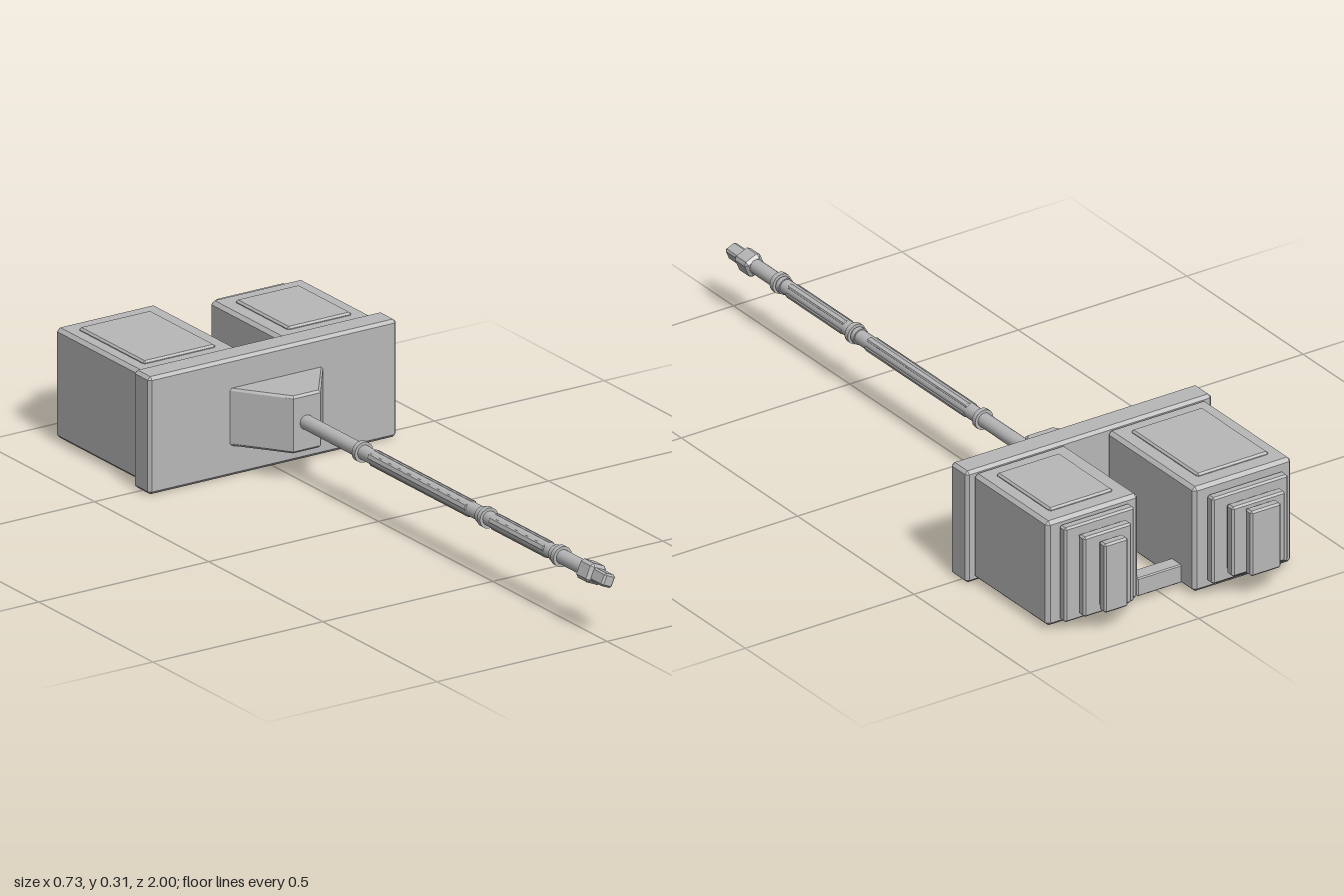
import * as THREE from 'three';
import { ConvexGeometry } from 'three/addons/geometries/ConvexGeometry.js';

const steel = new THREE.MeshStandardMaterial({ color: 0xb8b8b8 });
steel.name = 'steel grey';

// box with chamfered edges, given as [min, max] along each axis
function chamferBox(name, xs, ys, zs, c) {
  const lo = [xs[0], ys[0], zs[0]], hi = [xs[1], ys[1], zs[1]];
  const mid = lo.map((v, i) => (v + hi[i]) / 2);
  const half = lo.map((v, i) => Math.abs(hi[i] - v) / 2);
  const points = [];
  for (const sx of [-1, 1]) for (const sy of [-1, 1]) for (const sz of [-1, 1])
    for (let axis = 0; axis < 3; axis++) {
      const p = half.map((h, i) => h - (i === axis ? 0 : c));
      points.push(new THREE.Vector3(sx * p[0], sy * p[1], sz * p[2]));
    }
  const mesh = new THREE.Mesh(new ConvexGeometry(points), steel);
  mesh.position.set(...mid);
  mesh.name = name;
  return mesh;
}

// one hammer block: body, panels above and below, three stepped slabs behind
function block(name, x, back, panelX, steps) {
  const g = new THREE.Group();
  g.name = name;
  g.add(chamferBox('blockBody', x, [0.01, 0.298], [back, -0.525], 0.009));
  g.add(chamferBox('blockPanels', panelX, [0.003, 0.305], [back + 0.047, -0.566], 0.005));
  steps.forEach(([x0, x1, y0, y1], i) => {
    const z = back - 0.035 * i;
    g.add(chamferBox('stepSlab', [x0, x1], [y0, y1], [z - 0.03, z - 0.003], 0.005));
    // recessed core joining the slabs
    g.add(chamferBox('stepCore', [x0 + 0.008, x1 - 0.008], [y0 + 0.008, y1 - 0.008], [z - 0.02, z + 0.01], 0.002));
  });
  return g;
}

export function createModel() {
  const model = new THREE.Group();
  model.name = 'twinBlockHammer';

  // head
  const head = new THREE.Group();
  head.name = 'head';
  model.add(head);
  head.add(chamferBox('headPlate', [-0.366, 0.364], [0, 0.307], [-0.53, -0.459], 0.008));
  head.add(block('rightBlock', [-0.347, -0.055], -0.9, [-0.31, -0.098], [
    [-0.315, -0.09, 0.035, 0.273], [-0.283, -0.125, 0.06, 0.252], [-0.246, -0.156, 0.067, 0.246]]));
  head.add(block('leftBlock', [0.07, 0.342], -0.845, [0.114, 0.302], [
    [0.103, 0.31, 0.025, 0.285], [0.135, 0.277, 0.045, 0.265], [0.17, 0.24, 0.06, 0.25]]));
  head.add(chamferBox('bridgeBar', [-0.06, 0.075], [0.015, 0.065], [-0.845, -0.802], 0.003));

  // wedge between the plate and the shaft
  const outline = new THREE.Shape([[-0.128, 0.465], [0.144, 0.465], [0.045, 0.331], [-0.029, 0.331]]
    .map(([x, y]) => new THREE.Vector2(x, y)).reverse());
  const wedgeGeometry = new THREE.ExtrudeGeometry(outline,
    { depth: 0.138, bevelThickness: 0.006, bevelSize: 0.006, bevelSegments: 1 });
  wedgeGeometry.rotateX(-Math.PI / 2);
  const wedge = new THREE.Mesh(wedgeGeometry, steel);
  wedge.name = 'neckWedge';
  wedge.position.y = 0.086;
  head.add(wedge);

  // shaft, rolled about its own axis
  const shaft = new THREE.Group();
  shaft.name = 'shaft';
  shaft.position.set(0.006, 0.156, 0);
  shaft.rotation.z = -0.41;
  model.add(shaft);

  const rod = (name, r, z0, z1) => {
    const geometry = new THREE.CylinderGeometry(r, r, z1 - z0, 16);
    geometry.rotateX(Math.PI / 2);
    const mesh = new THREE.Mesh(geometry, steel);
    mesh.name = name;
    mesh.position.z = (z0 + z1) / 2;
    shaft.add(mesh);
  };
  rod('rod', 0.019, -0.335, 0.91);
  for (const z of [-0.08, 0.45, 0.468, 0.772, 0.79])
    rod('ring', [0.45, 0.772].includes(z) ? 0.022 : 0.027, z - 0.007, z + 0.007);

  // raised ribs on the grips
  for (const [z0, z1] of [[-0.03, 0.4], [0.5, 0.74]]) {
    shaft.add(chamferBox('gripRibs', [-0.021, 0.021], [-0.008, 0.008], [z0, z1], 0.003));
    shaft.add(chamferBox('gripRibs', [-0.008, 0.008], [-0.021, 0.021], [z0, z1], 0.003));
  }

  // square pommel and its end
  shaft.add(chamferBox('pommel', [-0.025, 0.025], [-0.025, 0.025], [0.893, 0.95], 0.008));
  shaft.add(chamferBox('pommelEnd', [-0.017, 0.017], [-0.017, 0.017], [0.94, 1], 0.005));

  return model;
}
